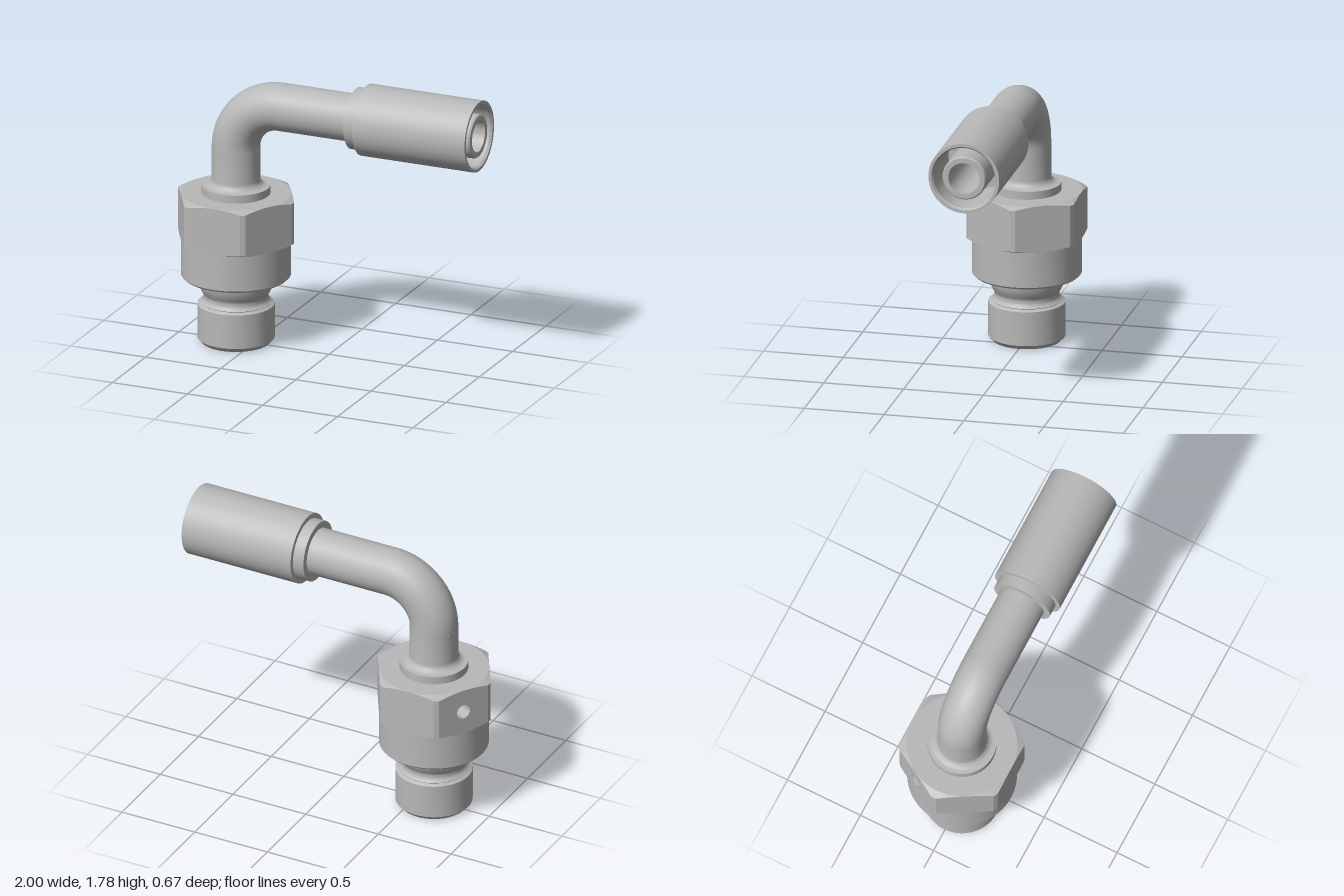
import * as THREE from 'three';
import { toCreasedNormals } from 'three/addons/utils/BufferGeometryUtils.js';

const AXIS = -0.62; // x of the vertical axis
const SEG = 72;
const rad = THREE.MathUtils.degToRad;

const steel = new THREE.MeshStandardMaterial({ color: 0xb8b8b8 });
steel.name = 'steel';

function part(name, geometry, parent) {
  const mesh = new THREE.Mesh(geometry, steel);
  mesh.name = name;
  parent.add(mesh);
  return mesh;
}

// Turned part with sharp edges; points are [radius, height]
function turned(points, seg = SEG) {
  const profile = points.map(([r, y]) => new THREE.Vector2(r, y));
  return toCreasedNormals(new THREE.LatheGeometry(profile, seg), rad(28));
}

// Points of a circular arc in profile space, angles in degrees
function arc(cx, cy, r, from, to, n = 8) {
  return Array.from({ length: n + 1 }, (_, i) => {
    const a = rad(from + ((to - from) * i) / n);
    return [cx + r * Math.cos(a), cy + r * Math.sin(a)];
  });
}

// Hexagon with corners turned round and chamfered top and bottom
const FLAT = 0.337, CAP = 0.38, LOW = 0.66, HIGH = 0.96;
const EDGE = Math.acos(FLAT / CAP);
const STEPS = 12, CORNER = 3, DRILLED = 2;
const chamfer = (r) => 0.0005 + (r - FLAT) * 0.42;

function hexNut() {
  const angles = [];
  for (let side = 0; side < 6; side++) {
    const mid = rad(30 + 60 * side);
    for (let i = 0; i < STEPS; i++) angles.push([mid - EDGE + (2 * EDGE * i) / STEPS, side, true]);
    const gap = rad(60) - 2 * EDGE;
    for (let i = 0; i < CORNER; i++) angles.push([mid + EDGE + (gap * i) / CORNER, side, false]);
  }
  const column = ([a, side]) => {
    const d = a - rad(30 + 60 * side);
    const r = Math.min(CAP, FLAT / Math.cos(d));
    const k = chamfer(r);
    return [[0.2, LOW], [FLAT - 0.001, LOW], [r, LOW + k], [r, HIGH - k], [FLAT - 0.001, HIGH], [0.15, HIGH]]
      .map(([q, y]) => [q * Math.cos(a), y, -q * Math.sin(a)]);
  };
  const pos = [];
  angles.forEach((entry, i) => {
    const p = column(entry), q = column(angles[(i + 1) % angles.length]);
    for (let j = 0; j < p.length - 1; j++) {
      if (j === 2 && entry[2] && entry[1] === DRILLED) continue; // flat left open for the drilled panel
      pos.push(...p[j], ...q[j], ...q[j + 1], ...p[j], ...q[j + 1], ...p[j + 1]);
    }
  });
  const geo = new THREE.BufferGeometry();
  geo.setAttribute('position', new THREE.Float32BufferAttribute(pos, 3));
  return toCreasedNormals(geo, rad(10));
}

// The one flat that carries a drilled hole
function drilledFlat(holeY, holeR) {
  const lower = [], upper = [];
  for (let i = 0; i <= STEPS; i++) {
    const a = -EDGE + (2 * EDGE * i) / STEPS;
    const k = chamfer(FLAT / Math.cos(a)), u = FLAT * Math.tan(a);
    lower.push(new THREE.Vector2(u, LOW + k));
    upper.unshift(new THREE.Vector2(u, HIGH - k));
  }
  const shape = new THREE.Shape([...lower, ...upper]);
  shape.holes.push(new THREE.Path().absarc(0, holeY, holeR, 0, Math.PI * 2, true));
  return new THREE.ShapeGeometry(shape, 24).translate(0, 0, FLAT);
}

export function createModel() {
  const model = new THREE.Group();
  model.name = 'elbowFitting';

  const body = new THREE.Group();
  body.name = 'fittingBody';
  body.position.x = AXIS;
  model.add(body);

  // Plug end with bore and rounded groove
  part('plug', turned([
    [0, 0.5], [0.085, 0.44], [0.085, 0.05], [0.118, 0], [0.21, 0], [0.236, 0.028], [0.236, 0.245],
    [0.216, 0.257], ...arc(0.241, 0.297, 0.043, 238, 140, 8),
    [0.236, 0.38], [0.236, 0.43],
  ]), body);

  // Round collar below the hexagon
  part('collar', turned([[0.2, 0.422], [0.322, 0.422], [FLAT - 0.002, 0.435], [FLAT - 0.002, LOW + 0.002]]), body);

  // Hexagon and its drilled side
  part('hexNut', hexNut(), body);
  const holeY = 0.81, holeR = 0.047;
  const turn = rad(30 + 60 * DRILLED + 90);
  part('drilledFlat', drilledFlat(holeY, holeR).rotateY(turn), body);
  part('sideHole', turned([[holeR, FLAT], [holeR, 0.23], [0, 0.2]], 24)
    .rotateX(Math.PI / 2).rotateY(turn).translate(0, holeY, 0), body);

  // Neck flange running with a fillet into the upright pipe
  const PIPE = 0.148, BEND = 0.3, TOP = 1.555;
  part('neck', turned([
    [0.21, 0.95], [0.21, 1.01], [0.193, 1.01], ...arc(PIPE + 0.045, 1.055, 0.045, 270, 180, 8),
    [PIPE, TOP - BEND],
  ]), body);

  // Quarter bend and level pipe
  const bend = new THREE.TorusGeometry(BEND, PIPE, 48, 40, Math.PI / 2);
  part('bend', bend.rotateZ(Math.PI / 2).translate(AXIS + BEND, TOP - BEND, 0), model);
  const start = AXIS + BEND, end = 0.25;
  const pipe = new THREE.CylinderGeometry(PIPE, PIPE, end - start, SEG, 1, true);
  part('levelPipe', pipe.rotateZ(-Math.PI / 2).translate((start + end) / 2, TOP, 0), model);

  // Crimp sleeve with a step, annular recess and bored inner tube
  part('sleeve', turned([
    [0.14, 0.178], [0.191, 0.178], [0.191, 0.25], [0.222, 0.25], [0.222, 1], [0.203, 1],
    [0.193, 0.985], [0.193, 0.6], [0.137, 0.6], [0.137, 0.985], [0.13, 0.995], [0.098, 0.995],
    [0.098, 0.45], [0, 0.36],
  ]).rotateZ(-Math.PI / 2).translate(0, TOP, 0), model);

  return model;
}
